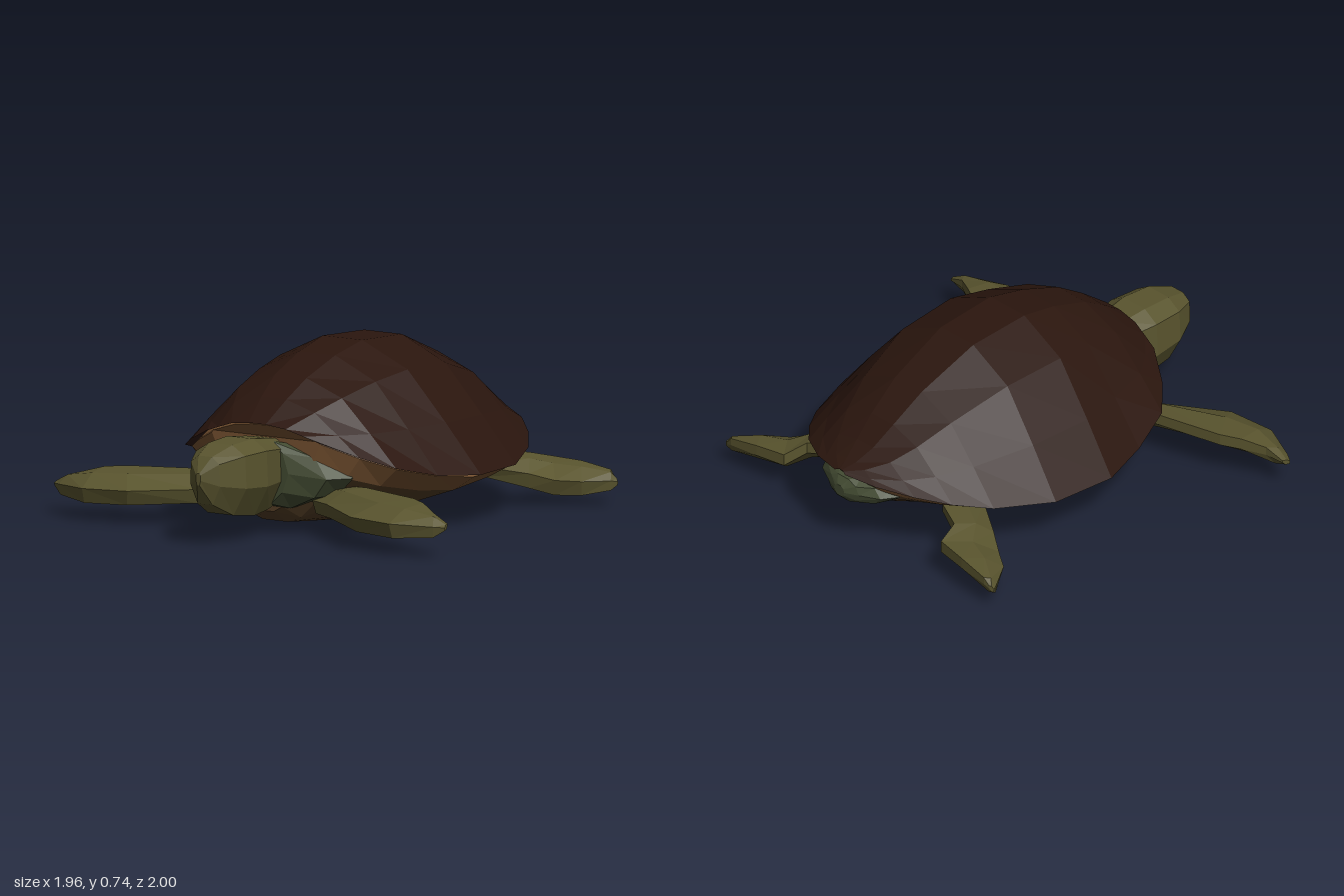
import * as THREE from 'three';

const paint = (color, side = THREE.FrontSide) => {
  const m = new THREE.MeshStandardMaterial({ flatShading: true, side });
  m.color.set(color);
  return m;
};

// Skin rings of [x, y, z] points; closed rings also get end caps. Faces are turned outward.
function loft(rings, closed = true) {
  const tris = [], n = rings[0].length;
  for (let i = 0; i + 1 < rings.length; i++) {
    for (let j = 0; j < (closed ? n : n - 1); j++) {
      const k = (j + 1) % n;
      const a = rings[i][j], b = rings[i][k], c = rings[i + 1][k], d = rings[i + 1][j];
      tris.push([a, b, c], [a, c, d]);
    }
  }
  if (closed) {
    const last = rings[rings.length - 1];
    for (let j = 1; j + 1 < n; j++) {
      tris.push([rings[0][0], rings[0][j + 1], rings[0][j]], [last[0], last[j], last[j + 1]]);
    }
  }
  const v = (p) => new THREE.Vector3(...p);
  const volume = tris.reduce((s, [a, b, c]) => s + v(a).dot(v(b).cross(v(c))), 0);
  if (volume < 0) tris.forEach((t) => t.reverse());
  const g = new THREE.BufferGeometry();
  g.setAttribute('position', new THREE.Float32BufferAttribute(tris.flat(2), 3));
  g.computeVertexNormals();
  return g;
}

// Mirror the right-hand half of a row into a full left-to-right row
const mirrorRow = (half) => [...half.map(([x, y, z]) => [-x, y, z]), ...half.slice().reverse()];

// Row from the rim up to a crown (or down to a keel), following [x, y] fractions
const arc = (profile, rx, ry, rz, cy, cz) =>
  mirrorRow(profile.map(([fx, fy]) => [rx * fx, ry + (cy - ry) * fy, rz + (cz - rz) * fy]));

// Upright rings along z from [halfWidth, top, bottom, z]
const upright = (profile, rows) => rows.map(([w, top, bot, z]) =>
  mirrorRow(profile.map(([fx, fy]) => [w * fx, bot + (top - bot) * fy, z])));

// Flipper from [leadX, leadZ, trailX, trailZ, top, bottom]: low leading edge, high trailing edge
function flipper(rows, side) {
  const section = [[0, 0.5], [0.45, 0.92], [1, 1], [1, 0.6], [0.6, 0.1], [0.1, 0]];
  return loft(rows.map(([lx, lz, tx, tz, top, bot]) => section.map(([f, h]) =>
    [side * (lx + (tx - lx) * f), bot + (top - bot) * h, lz + (tz - lz) * f])));
}

export function createModel() {
  const group = new THREE.Group();
  const shellMat = paint(0x2b160e, THREE.DoubleSide);
  const bodyMat = paint(0x74502f), plastronMat = paint(0x523c24);
  const limbMat = paint(0x59542e), skinMat = paint(0x434b32);
  const add = (name, geometry, material) => {
    const mesh = new THREE.Mesh(geometry, material);
    mesh.name = name;
    group.add(mesh);
  };

  // Shell rows: rim x, y, z, crown y, z, then keel y, z of the body below
  const rows = [
    [0.28, 0.40, 0.54, 0.46, 0.58, 0.09, 0.52],
    [0.42, 0.34, 0.45, 0.55, 0.46, 0.04, 0.45],
    [0.53, 0.29, 0.34, 0.625, 0.34, 0.028, 0.32],
    [0.60, 0.24, 0.14, 0.695, 0.15, 0.012, 0.14],
    [0.66, 0.22, -0.08, 0.735, -0.03, 0, -0.06],
    [0.63, 0.22, -0.37, 0.72, -0.32, 0.045, -0.34],
    [0.52, 0.25, -0.62, 0.61, -0.60, 0.10, -0.60],
    [0.42, 0.285, -0.76, 0.51, -0.75, 0.15, -0.74],
    [0.31, 0.32, -0.87, 0.435, -0.85, 0.18, -0.83],
    [0.17, 0.345, -0.955, 0.39, -0.93, 0.22, -0.90],
    [0.03, 0.36, -0.995, 0.37, -0.99, 0.30, -0.93],
  ];
  const dome = [[1, 0], [0.755, 0.395], [0.485, 0.80], [0.15, 1]];
  add('shell', loft(rows.map((r) => arc(dome, ...r.slice(0, 5))), false), shellMat);

  // Body under the shell: flank with an inset dome, and the plastron below it
  const flank = [[0.97, 0.03], [0.82, 0.32]];
  const keel = [[0.82, 0.32], [0.5, 0.65], [0.3, 0.92], [0.15, 1]];
  add('body', loft(rows.map(([rx, ry, rz, cy, cz, ky, kz]) => {
    const inset = rz > 0 ? -0.025 : 0.025;
    const upper = arc(dome, rx * 0.95, ry, rz + inset, ry + (cy - ry) * 0.88, cz + inset);
    const lower = arc(flank, rx, ry, rz + inset, ky, kz);
    return [...upper, ...lower.reverse()];
  })), bodyMat);
  add('plastron', loft(rows.map(([rx, ry, rz, , , ky, kz]) =>
    arc(keel, rx, ry, rz + (rz > 0 ? -0.025 : 0.025), ky, kz))), plastronMat);

  // Head, neck and tail stump
  add('head', loft(upright([[0.45, 1], [0.95, 0.86], [1, 0.4], [0.5, 0]], [
    [0.11, 0.39, 0.14, 0.48], [0.115, 0.405, 0.11, 0.58], [0.14, 0.42, 0.10, 0.70],
    [0.13, 0.412, 0.12, 0.84], [0.075, 0.375, 0.175, 0.95], [0.012, 0.31, 0.26, 1.0],
  ])), limbMat);
  const oval = [[0.35, 1], [0.8, 0.82], [1, 0.5], [0.8, 0.2], [0.4, 0]];
  add('neck', loft(upright(oval, [
    [0.37, 0.37, 0.12, 0.42], [0.30, 0.38, 0.11, 0.51], [0.15, 0.395, 0.13, 0.57],
  ])), skinMat);
  add('tail', loft(upright(oval, [
    [0.22, 0.33, 0.22, -0.85], [0.17, 0.335, 0.215, -0.93],
    [0.09, 0.33, 0.225, -0.975], [0.03, 0.30, 0.25, -1.0],
  ])), skinMat);

  // Paired flippers
  const front = [
    [0.20, 0.47, 0.30, 0.36, 0.20, 0.09], [0.32, 0.54, 0.42, 0.40, 0.21, 0.09],
    [0.56, 0.71, 0.72, 0.485, 0.205, 0.08], [0.77, 0.735, 0.80, 0.53, 0.20, 0.075],
    [0.94, 0.66, 0.89, 0.585, 0.175, 0.085], [0.98, 0.635, 0.97, 0.60, 0.14, 0.115],
  ];
  const rear = [
    [0.36, -0.52, 0.30, -0.70, 0.21, 0.12], [0.52, -0.62, 0.43, -0.76, 0.20, 0.075],
    [0.61, -0.68, 0.46, -0.865, 0.175, 0.045], [0.70, -0.74, 0.60, -0.885, 0.165, 0.045],
    [0.77, -0.85, 0.74, -0.895, 0.14, 0.06], [0.785, -0.88, 0.765, -0.89, 0.11, 0.08],
  ];
  for (const [word, s] of [['left', 1], ['right', -1]]) {
    add(`${word}FrontFlipper`, flipper(front, s), limbMat);
    add(`${word}RearFlipper`, flipper(rear, s), limbMat);
  }
  return group;
}
